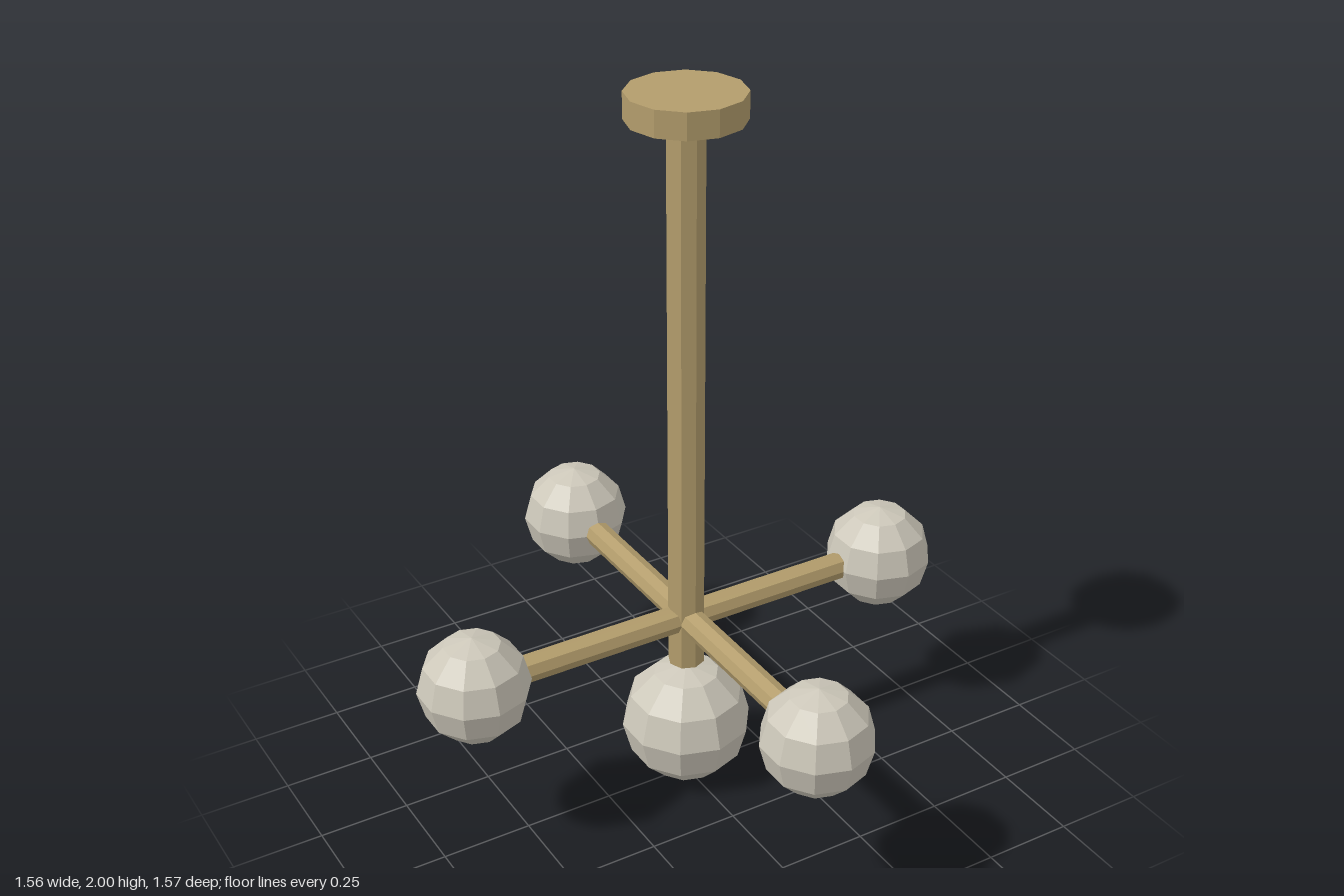
import * as THREE from 'three';

const brass = new THREE.MeshStandardMaterial({ color: 0xb39d6c, flatShading: true });
const glass = new THREE.MeshStandardMaterial({ color: 0xccc7b9, flatShading: true });

const ARM_Y = 0.515;
const GLOBE_REACH = 0.635;

export function createModel() {
  const model = new THREE.Group();
  model.name = 'pendantLamp';

  const add = (name, geometry, material, x, y, z) => {
    const mesh = new THREE.Mesh(geometry, material);
    mesh.name = name;
    mesh.position.set(x, y, z);
    model.add(mesh);
    return mesh;
  };
  // Faceted globe with a corner facing the front
  const globe = (radius) => new THREE.SphereGeometry(radius, 10, 6).rotateY(Math.PI / 2);
  // Upright rod between two heights
  const rod = (name, radius, sides, y0, y1) =>
    add(name, new THREE.CylinderGeometry(radius, radius, y1 - y0, sides), brass, 0, (y0 + y1) / 2, 0);

  // Ceiling plate and central stem
  rod('ceilingPlate', 0.152, 12, 1.93, 2);
  rod('stem', 0.05, 8, 0.375, 1.915);

  // Two crossing bars
  const barGeometry = new THREE.CylinderGeometry(0.0375, 0.0375, 1, 8);
  add('sideBar', barGeometry, brass, 0, ARM_Y, 0).rotation.z = Math.PI / 2;
  add('frontBackBar', barGeometry, brass, 0, ARM_Y, 0).rotation.x = Math.PI / 2;

  // Globe at each bar end
  const ends = { leftGlobe: [1, 0], rightGlobe: [-1, 0], frontGlobe: [0, 1], backGlobe: [0, -1] };
  const smallGlobe = globe(0.15);
  for (const [name, [x, z]] of Object.entries(ends)) {
    add(name, smallGlobe, glass, x * GLOBE_REACH, ARM_Y, z * GLOBE_REACH);
  }

  // Larger globe below the stem
  add('lowerGlobe', globe(0.18), glass, 0, 0.18, 0);

  return model;
}
